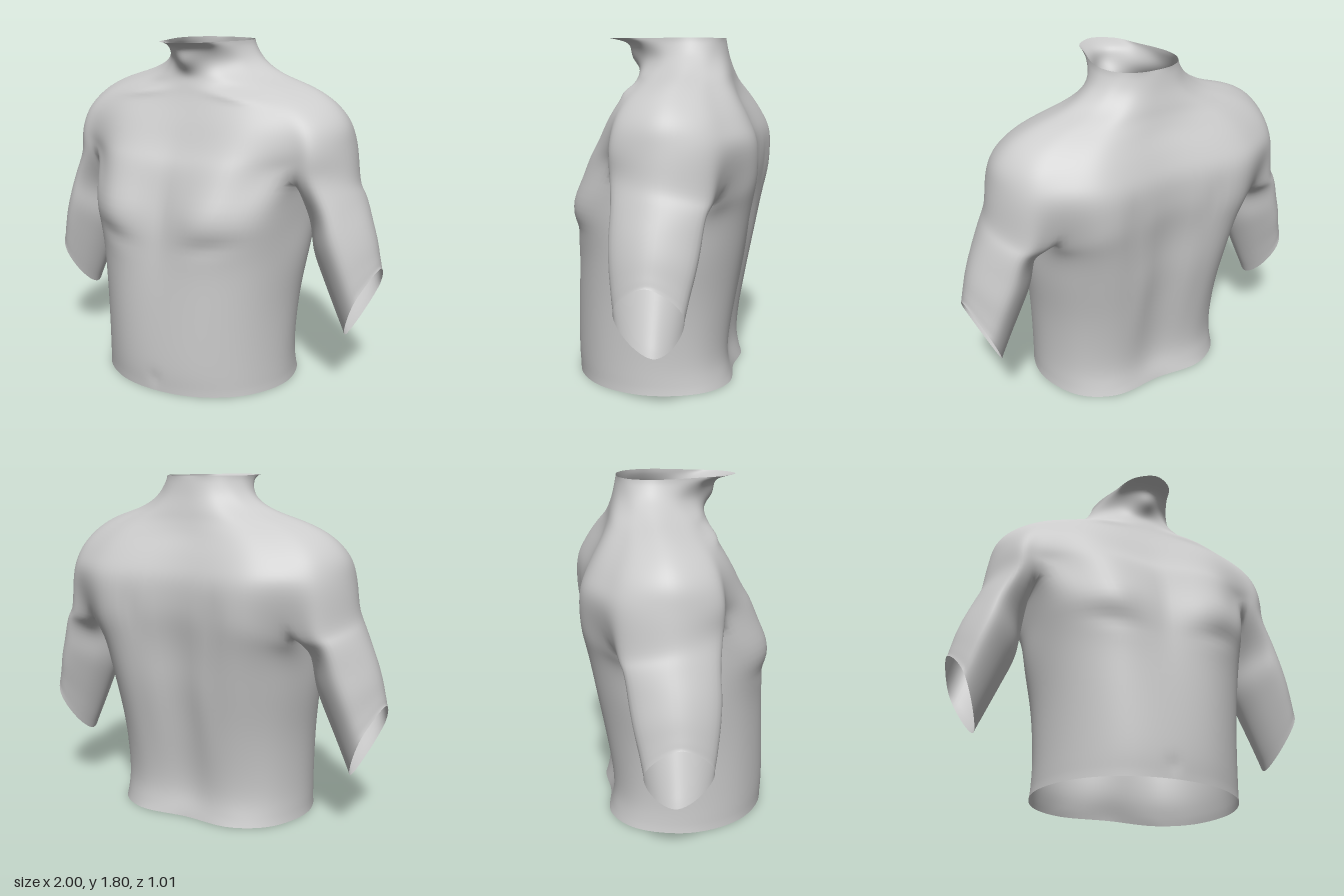
import * as THREE from 'three';

const S = 8; // steps between control points around a section
const M = 6; // steps between sections

// Sections of the +x half, as x,z pairs from front centre round to the spine.
// Upper body columns: breastbone, pec, front fold, deltoid front, outer,
// deltoid back, back fold, shoulder blade, spine.
const FOLD = [0, .372, .33, .378, .60, .18, .72, .158, .842, -.07, .75, -.325, .605, -.345, .40, -.495, 0, -.457];
const FOLD_Y = [1.17, 1.17, 1.16, 1.15, 1.12, 1.06, 1.03, 1.09, 1.11];
const SHOULDERS = [
  [1.28, 0, .305, .33, .32, .60, .195, .72, .155, .815, -.07, .75, -.30, .62, -.405, .40, -.497, 0, -.458],
  [1.40, 0, .25, .33, .26, .56, .185, .69, .125, .787, -.08, .71, -.28, .58, -.37, .38, -.447, 0, -.417],
  [1.50, 0, .205, .30, .20, .47, .15, .60, .08, .705, -.09, .63, -.24, .50, -.32, .33, -.385, 0, -.368],
  [1.57, 0, .18, .20, .16, .35, .10, .48, .02, .58, -.11, .50, -.22, .40, -.28, .26, -.338, 0, -.343],
];
const NECK = [
  [1.63, 0, .168, .13, .14, .22, .08, .31, 0, .40, -.12, .35, -.20, .28, -.26, .18, -.315, 0, -.328],
  [1.70, 0, .215, .11, .135, .18, .06, .24, -.02, .275, -.12, .25, -.20, .20, -.25, .12, -.295, 0, -.31],
  [1.77, 0, .235, .12, .165, .17, .09, .205, 0, .225, -.11, .21, -.18, .17, -.24, .10, -.28, 0, -.296],
  [1.80, 0, .335, .108, .268, .16, .12, .20, 0, .215, -.10, .20, -.18, .16, -.24, .09, -.28, 0, -.29],
];
// Trunk columns: breastbone, pec, front corner, side, back corner, back, spine.
const TRUNK = [
  [0, 0, .50, .25, .45, .45, .29, .54, .03, .46, -.24, .28, -.36, 0, -.35],
  [.15, 0, .505, .25, .457, .45, .29, .535, .03, .45, -.22, .26, -.335, 0, -.315],
  [.45, 0, .488, .26, .452, .46, .29, .548, .01, .47, -.235, .28, -.37, 0, -.35],
  [.72, 0, .462, .26, .452, .48, .295, .582, -.01, .515, -.265, .32, -.42, 0, -.395],
  [.92, 0, .437, .28, .468, .515, .295, .588, -.03, .555, -.285, .36, -.457, 0, -.42],
];
// Arm sections: inner x,y, outer x,y, front z, back z, from the cut upwards.
const ARM = [
  [.83, .30, 1.0, .685, .10, -.24],
  [.77, .44, .985, .74, .118, -.255],
  [.705, .59, .965, .82, .138, -.28],
  [.645, .74, .93, .92, .152, -.30],
  [.62, .90, .882, 1.03, .152, -.318],
];
// Position across (inner 0, outer 1) and depth of the six arm columns.
const ARM_COLUMNS = [[.2, .62], [.66, .97], [1, 0], [.66, -.97], [.2, -.62], [0, 0]];
// Soft surface details: x, y, side (front 1, back -1), slope, x and y radius, push.
const DETAILS = [
  [.28, 1.53, 1, -.12, .14, .022, .014],
  [.26, 1.575, 1, -.12, .10, .025, -.012],
  [.27, .96, 1, 0, .16, .09, .010],
  [.30, .81, 1, .15, .14, .05, -.012],
  [0, 1.0, 1, 0, .05, .22, -.008],
  [0, .07, 1, 0, .03, .04, -.007],
  [.14, .65, -1, 0, .07, .35, .012],
  [.24, 1.12, -1, 1.2, .05, .12, -.010],
];

const v = (x, y, z) => new THREE.Vector3(x, y, z);
const sample = (curve, n, end = 1) =>
  Array.from({ length: n + 1 }, (_, i) => curve.getPoint((i / n) * end));

const toPoints = (pairs, yOf) =>
  Array.from({ length: pairs.length / 2 }, (_, i) => v(pairs[2 * i], yOf(i), pairs[2 * i + 1]));

// Smooth half of a closed section that is symmetric about x = 0.
function halfRing(points) {
  const mirrored = points.slice(1, -1).reverse().map(p => v(-p.x, p.y, p.z));
  const ring = sample(new THREE.CatmullRomCurve3([...points, ...mirrored], true), S * (points.length - 1), .5);
  ring[0].x = ring[ring.length - 1].x = 0;
  return ring;
}
const levelRing = ([y, ...pairs]) => halfRing(toPoints(pairs, () => y));

function armRing([xi, yi, xo, yo, zf, zb]) {
  const mid = (zf + zb) / 2, half = (zf - zb) / 2;
  const points = ARM_COLUMNS.map(([u, k]) => v(xi + (xo - xi) * u, yi + (yo - yi) * u, mid + half * k));
  return sample(new THREE.CatmullRomCurve3(points, true), S * 6);
}

// Interpolate smoothly from section to section.
function loft(rings) {
  const columns = rings[0].map((_, j) =>
    sample(new THREE.CatmullRomCurve3(rings.map(r => r[j])), M * (rings.length - 1)));
  return columns[0].map((_, i) => columns.map(c => c[i]));
}

export function createModel() {
  const points = [], lookup = new Map(), pinned = new Set();
  const weld = p => {
    const key = [p.x, p.y, p.z].map(n => Math.round(n * 1e4)).join();
    if (!lookup.has(key)) { lookup.set(key, points.length); points.push(p.clone()); }
    return lookup.get(key);
  };

  // Index a grid on one side of the body, pinning the row at its open edge.
  function skin(grid, side, openRow) {
    const ids = grid.map(row => row.map(p => weld(v(p.x * side, p.y, p.z))));
    ids[openRow].forEach(id => pinned.add(id));
    const index = [];
    for (let i = 0; i < ids.length - 1; i++) {
      for (let j = 0; j < ids[0].length - 1; j++) {
        const a = ids[i][j], b = ids[i][j + 1], c = ids[i + 1][j + 1], d = ids[i + 1][j];
        index.push(...(side > 0 ? [a, b, c, a, c, d] : [a, c, b, a, d, c]));
      }
    }
    return index;
  }

  // The fold ring, where the shoulders divide into trunk and arms.
  const foldPoints = toPoints(FOLD, i => FOLD_Y[i]);
  const fold = halfRing(foldPoints);
  const armpit = sample(new THREE.CatmullRomCurve3([foldPoints[2], v(.602, 1.09, -.08), foldPoints[6]]), 2 * S);
  const trunkTop = [...fold.slice(0, 2 * S), ...armpit, ...fold.slice(6 * S + 1)];
  const armTop = [...fold.slice(2 * S, 6 * S), ...armpit.slice().reverse()];

  const upper = loft([fold, ...SHOULDERS.map(levelRing), ...NECK.map(levelRing)]);
  const trunk = loft([...TRUNK.map(levelRing), trunkTop]);
  const arm = loft([...ARM.map(armRing), armTop]);

  const parts = {
    neckAndShoulders: [1, -1].flatMap(s => skin(upper, s, upper.length - 1)),
    trunk: [1, -1].flatMap(s => skin(trunk, s, 0)),
    leftArm: skin(arm, 1, 0),
    rightArm: skin(arm, -1, 0),
  };

  // Relax the skin so the parts flow into each other without shrinking.
  const neighbours = points.map(() => new Set());
  const all = Object.values(parts).flat();
  for (let i = 0; i < all.length; i += 3) {
    for (let k = 0; k < 3; k++) {
      const a = all[i + k], b = all[i + (k + 1) % 3];
      neighbours[a].add(b);
      neighbours[b].add(a);
    }
  }
  for (let pass = 0; pass < 90; pass++) {
    const weight = pass % 2 ? -.5 : .51;
    const moved = points.map((p, i) => {
      const mean = v(0, 0, 0);
      neighbours[i].forEach(n => mean.add(points[n]));
      return p.clone().lerp(mean.divideScalar(neighbours[i].size), pinned.has(i) ? 0 : weight);
    });
    moved.forEach((p, i) => points[i].copy(p));
  }

  // Collarbones, chest, navel and back muscles.
  for (const p of points) {
    for (const [x, y, side, slope, rx, ry, push] of DETAILS) {
      if ((p.z + .05) * side < 0) continue;
      const dx = Math.abs(p.x) - x, dy = p.y - y - slope * dx;
      p.z += side * push * Math.exp(-((dx / rx) ** 2) - (dy / ry) ** 2);
    }
  }

  // All parts share one set of points and normals, so the seams stay smooth.
  const body = new THREE.BufferGeometry().setFromPoints(points);
  body.setIndex(all);
  body.computeVertexNormals();
  const material = new THREE.MeshStandardMaterial({ color: 0xcccccc, side: THREE.DoubleSide });
  const group = new THREE.Group();
  group.name = 'maleTorso';
  for (const [name, index] of Object.entries(parts)) {
    const geometry = new THREE.BufferGeometry();
    geometry.setAttribute('position', body.getAttribute('position'));
    geometry.setAttribute('normal', body.getAttribute('normal'));
    geometry.setIndex(index);
    const mesh = new THREE.Mesh(geometry, material);
    mesh.name = name;
    group.add(mesh);
  }
  return group;
}
